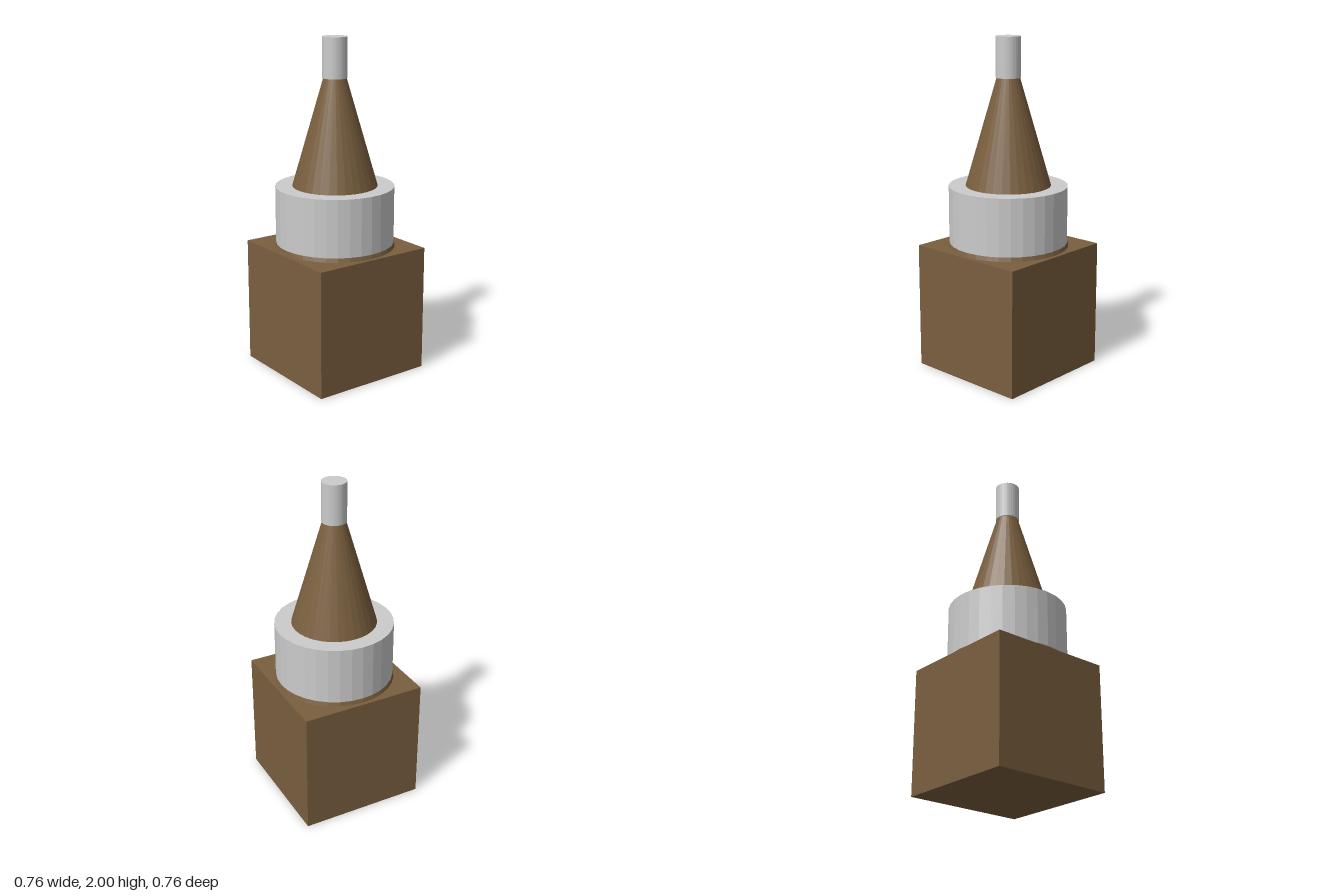
import * as THREE from 'three';

const SIDES = 32;

export function createModel() {
  const model = new THREE.Group();
  model.name = 'model';
  const brown = new THREE.MeshStandardMaterial({ color: 0x7a5f3f, flatShading: true });
  const grey = new THREE.MeshStandardMaterial({ color: 0xcccccc, flatShading: true });

  const add = (name, geometry, material, y) => {
    const mesh = new THREE.Mesh(geometry, material);
    mesh.name = name;
    mesh.position.y = y;
    model.add(mesh);
  };
  // Round part standing between two heights
  const round = (name, material, bottom, top, rBottom, rTop = rBottom) =>
    add(name, new THREE.CylinderGeometry(rTop, rBottom, top - bottom, SIDES), material, (bottom + top) / 2);

  // Square block at the foot
  add('baseBlock', new THREE.BoxGeometry(0.76, 0.76, 0.76), brown, 0.38);

  // Taper rises from the block through the collar, its foot just showing below it
  round('taperedBody', brown, 0.76, 1.762, 0.36, 0.068);
  round('collar', grey, 0.762, 1.127, 0.353);

  // Thin cylinder on top
  round('tip', grey, 1.762, 2, 0.073);

  return model;
}
